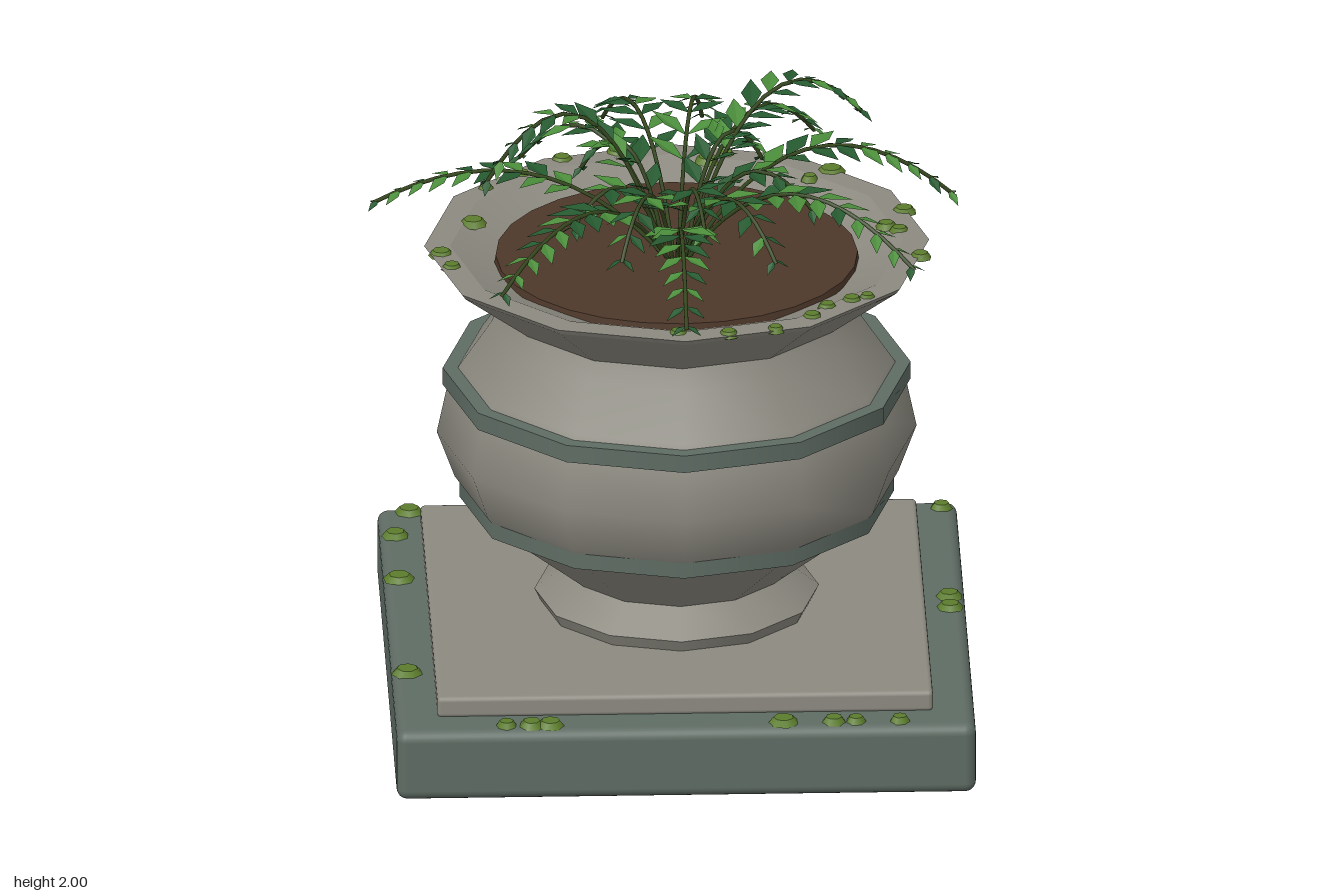
import * as THREE from 'three';
import { mergeGeometries } from 'three/addons/utils/BufferGeometryUtils.js';
import { RoundedBoxGeometry } from 'three/addons/geometries/RoundedBoxGeometry.js';

const CX = 0.02, CZ = -0.005; // axis of the urn

function material(name, color, side = THREE.FrontSide) {
  const m = new THREE.MeshStandardMaterial({ color, side });
  m.name = name;
  return m;
}

// Lathe strips with twelve sides; each strip is smooth, joins between strips stay sharp
function turned(...strips) {
  return mergeGeometries(strips.map(s =>
    new THREE.LatheGeometry(s.map(([r, y]) => new THREE.Vector2(r, y)), 12)));
}

// Seeded random numbers
let seed = 7;
function rnd() {
  seed = (seed * 16807) % 2147483647;
  return seed / 2147483647;
}

export function createModel() {
  const group = new THREE.Group();
  const stone = material('pale stone', 0x8c8a80);
  const darkStone = material('dark stone', 0x5f6c64);
  const soilMat = material('soil brown', 0x4e382a);
  const mossMat = material('moss green', 0x5c7d2c);
  const stemMat = material('stem green', 0x36481f);
  const leafMats = [
    material('bright leaf green', 0x4a8c3a, THREE.DoubleSide),
    material('deep leaf green', 0x25592f, THREE.DoubleSide),
  ];

  const add = (name, geo, mat, x = 0, y = 0, z = 0) => {
    const m = new THREE.Mesh(geo, mat);
    m.name = name;
    m.position.set(x, y, z);
    group.add(m);
    return m;
  };

  // Plinth slabs
  add('plinth', new RoundedBoxGeometry(1.84, 0.235, 1.84, 3, 0.035), darkStone, CX, 0.1175, CZ);
  add('upperSlab', new RoundedBoxGeometry(1.575, 0.07, 1.575, 2, 0.015), stone, CX, 0.265, CZ);

  // Turned urn
  add('foot', turned(
    [[0.43, 0.295], [0.452, 0.34]],
    [[0.452, 0.34], [0.35, 0.42]],
  ), stone, CX, 0, CZ);
  add('body', turned(
    [[0.34, 0.41], [0.4, 0.46], [0.645, 0.66], [0.705, 0.73], [0.762, 0.885],
      [0.725, 1.06], [0.685, 1.12], [0.59, 1.26], [0.555, 1.335]],
  ), stone, CX, 0, CZ);
  const band = (name, r, y0, y1) => add(name, turned(
    [[r - 0.1, y0], [r, y0]], [[r, y0], [r, y1]], [[r, y1], [r - 0.1, y1]],
  ), darkStone, CX, 0, CZ);
  band('lowerBand', 0.69, 0.66, 0.72);
  band('upperBand', 0.743, 1.047, 1.105);
  add('rim', turned(
    [[0.5, 1.325], [0.555, 1.325]],
    [[0.555, 1.325], [0.79, 1.508]],
    [[0.79, 1.508], [0.802, 1.525]],
    [[0.802, 1.525], [0.72, 1.525]],
    [[0.72, 1.525], [0.54, 1.45]],
  ), stone, CX, 0, CZ);
  add('soil', new THREE.CylinderGeometry(0.575, 0.59, 0.1, 28), soilMat, CX, 1.44, CZ);

  // Moss cushions: x, z, radius
  const cushion = (name, list, y) => list.forEach(([x, z, r]) => {
    const g = new THREE.CylinderGeometry(r * 0.65, r, 0.02, 7);
    add(name, g, mossMat, x, y, z).rotation.y = rnd() * 6;
  });
  cushion('plinthMoss', [
    [-0.8, -0.88, 0.048], [-0.85, -0.69, 0.045], [-0.85, -0.34, 0.052], [-0.85, 0.42, 0.052],
    [0.55, -0.88, 0.052], [0.89, -0.86, 0.037], [0.89, -0.14, 0.044], [0.89, -0.05, 0.044],
    [-0.55, 0.86, 0.034], [-0.47, 0.86, 0.042], [-0.41, 0.86, 0.046], [0.33, 0.86, 0.05],
    [0.49, 0.86, 0.04], [0.56, 0.86, 0.034], [0.7, 0.86, 0.034],
  ], 0.243);
  cushion('rimMoss', [
    [-0.14, -0.75, 0.046], [-0.32, -0.7, 0.04], [-0.45, -0.58, 0.03], [-0.57, -0.47, 0.03],
    [-0.62, -0.2, 0.046], [-0.73, 0.05, 0.042], [-0.7, 0.16, 0.036], [0.14, -0.68, 0.042],
    [0.2, -0.72, 0.034], [0.53, -0.58, 0.05], [0.46, -0.52, 0.03], [0.75, -0.25, 0.042],
    [0.69, -0.13, 0.036], [0.73, -0.09, 0.034], [0.79, 0.12, 0.036], [0.61, 0.45, 0.03],
    [0.56, 0.47, 0.036], [0.48, 0.52, 0.034], [0.43, 0.6, 0.036], [0.31, 0.7, 0.03],
    [0.16, 0.73, 0.034], [0.0, 0.72, 0.034],
  ], 1.525);

  // Fern fronds: tip x, tip z, tip y, peak y
  const fronds = [
    [-0.94, -0.14, 1.62, 1.75], [-0.59, 0.05, 1.76, 1.99], [-0.56, 0.64, 1.62, 1.77],
    [0.02, 0.91, 1.61, 1.75], [0.76, 0.47, 1.62, 1.79], [0.9, -0.03, 1.67, 1.85],
    [0.62, -0.33, 1.83, 1.99], [0.48, -0.68, 1.62, 1.82], [0.12, -0.57, 1.72, 1.87],
    [-0.19, -0.76, 1.64, 1.82], [-0.47, -0.37, 1.67, 1.84], [0.32, 0.45, 1.64, 1.78],
    [-0.17, 0.47, 1.66, 1.8], [0.45, 0.12, 1.68, 1.8], [-0.32, 0.24, 1.68, 1.78],
    [-0.28, -0.16, 1.72, 1.84], [0.3, -0.22, 1.72, 1.85], [0.1, 0.36, 1.7, 1.8],
  ];
  const stems = [], leafPoints = [[], []];
  const up = new THREE.Vector3(0, 1, 0);

  // Pointed leaf folded along its midrib
  function leaf(tone, p, dir, length) {
    const across = new THREE.Vector3().crossVectors(dir, up).normalize();
    const tip = p.clone().addScaledVector(dir, length);
    const mid = p.clone().addScaledVector(dir, length * 0.45);
    const edge = s => mid.clone().addScaledVector(across, s * length * 0.23).addScaledVector(up, length * 0.07);
    for (const v of [p, edge(1), tip, p, tip, edge(-1)]) leafPoints[tone].push(v);
  }

  fronds.forEach(([x, z, tipY, peak], f) => {
    const reach = Math.hypot(x - CX, z - CZ);
    const dx = (x - CX) / reach, dz = (z - CZ) / reach;
    const ctrlY = (peak - 0.16 * 1.48 - 0.36 * tipY) / 0.48;
    const curve = new THREE.QuadraticBezierCurve3(
      new THREE.Vector3(CX + dx * 0.04, 1.48, CZ + dz * 0.04),
      new THREE.Vector3(CX + dx * reach * 0.45, ctrlY, CZ + dz * reach * 0.45),
      new THREE.Vector3(x, tipY, z));
    stems.push(new THREE.TubeGeometry(curve, 14, 0.007, 5));

    const side = new THREE.Vector3(-dz, 0, dx);
    const pairs = Math.max(5, Math.round(curve.getLength() * 9));
    for (let i = 0; i < pairs; i++) {
      const t = 0.36 + 0.62 * i / (pairs - 1);
      const p = curve.getPointAt(t), tangent = curve.getTangentAt(t);
      const length = 0.135 - 0.075 * Math.max(0, (t - 0.5) / 0.5);
      for (const s of [-1, 1]) {
        const dir = tangent.clone().multiplyScalar(0.6).addScaledVector(side, s * 0.8);
        dir.y -= 0.08 + rnd() * 0.12;
        const tone = f > 12 ? (rnd() < 0.75 ? 1 : 0) : (rnd() < 0.5 ? 1 : 0);
        leaf(tone, p, dir.normalize(), length * (0.9 + rnd() * 0.2));
      }
    }
  });
  add('fernStems', mergeGeometries(stems), stemMat);
  leafPoints.forEach((points, i) => {
    const g = new THREE.BufferGeometry().setFromPoints(points);
    g.computeVertexNormals();
    add(i ? 'deepLeaves' : 'brightLeaves', g, leafMats[i]);
  });

  return group;
}
